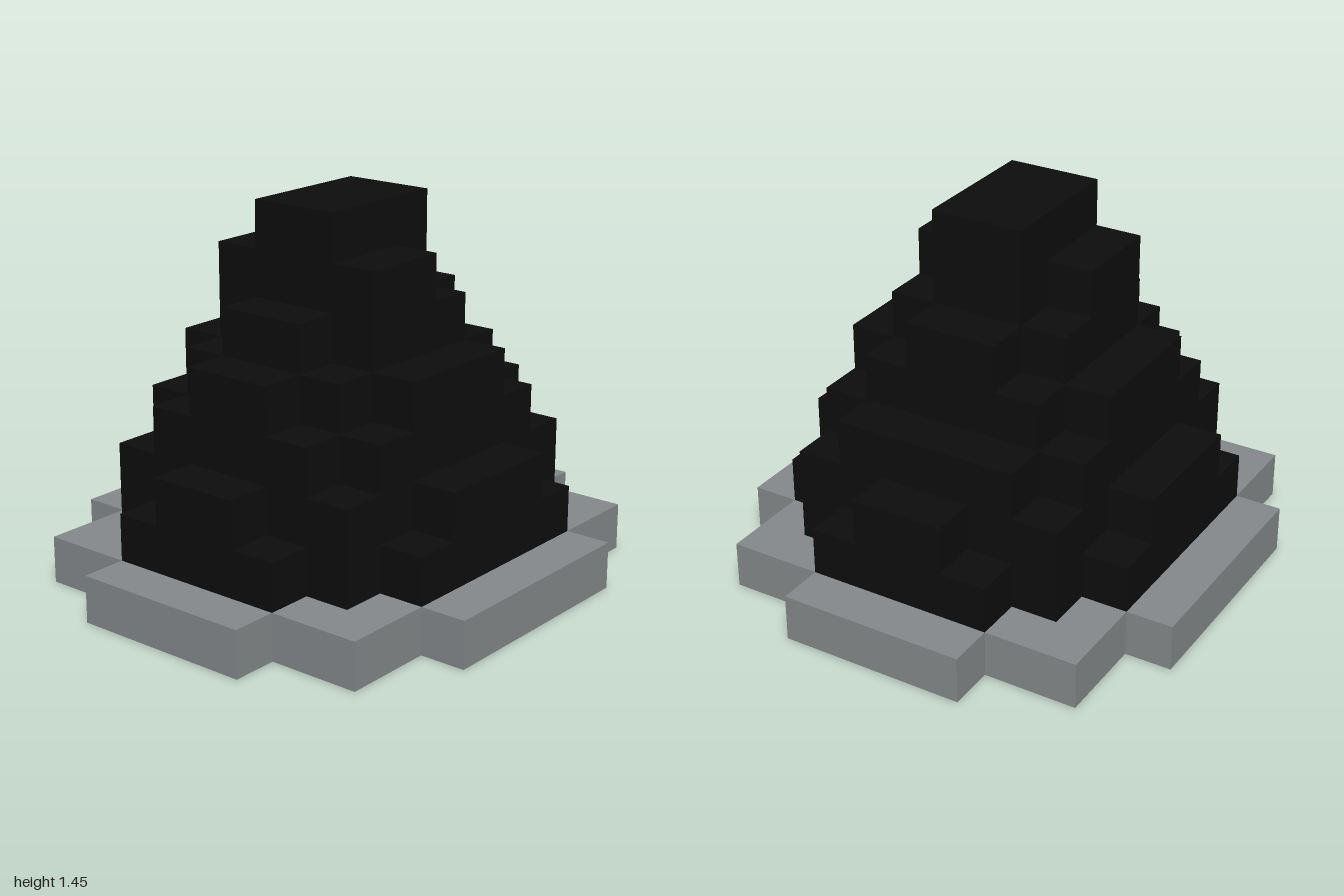
import * as THREE from 'three';

const U = 2 / 11; // size of one block

// Each tier: name, bottom, top, and rows of [half width, back z, front z] from narrow to wide, in blocks
const TIERS = [
  ['base', 0, 1, [[2, -5.5, 5.5], [4, -4.5, 4.5], [5, -2.5, 2.5]]],
  ['moundTier1', 1, 2, [[2, -4.5, 4.5], [3, -3.5, 3.5], [4, -2.5, 2.5]]],
  ['moundTier2', 2, 3, [[1, -4.5, 4.5], [3, -3.5, 3.5], [4, -1.5, 1.5]]],
  ['moundTier3', 3, 4, [[2, -3.5, 3.5], [3, -2.5, 2.5]]],
  ['moundTier4', 4, 5, [[1, -2.5, 3.5], [2, -2.5, 2.5], [3, -1.5, 1.5]]],
  ['moundTier5', 5, 6, [[1, -2.5, 2.5], [2, -1.5, 1.5]]],
  ['moundTier6', 6, 7, [[1, -1.5, 1.5], [2, -0.5, 1.5]]],
  ['peak', 7, 8, [[1, -1.5, 1.5]]],
];

// Stepped outline, symmetric in x
function outline(rows) {
  const front = [], back = [];
  rows.forEach(([x, zb, zf], i) => {
    front.push([x, zf]);
    back.push([x, zb]);
    if (i < rows.length - 1) {
      front.push([x, rows[i + 1][2]]);
      back.push([x, rows[i + 1][1]]);
    }
  });
  const side = [...front, ...back.reverse()];
  const mirrored = side.map(([x, z]) => [-x, z]).reverse();
  const points = [...side, ...mirrored].filter(
    (p, i, all) => i === 0 || p[0] !== all[i - 1][0] || p[1] !== all[i - 1][1]);
  return new THREE.Shape(points.map(([x, z]) => new THREE.Vector2(x * U, z * U)));
}

function tierGeometry(bottom, top, rows) {
  const geometry = new THREE.ExtrudeGeometry(outline(rows), {
    depth: (top - bottom) * U, bevelEnabled: false,
  });
  geometry.rotateX(Math.PI / 2); // outline lies flat, depth runs down
  geometry.translate(0, top * U, 0);
  return geometry;
}

export function createModel() {
  const grey = new THREE.MeshStandardMaterial({ color: 0x84888a });
  grey.name = 'stone grey';
  const black = new THREE.MeshStandardMaterial({ color: 0x0d0d0d });
  black.name = 'black';

  const model = new THREE.Group();
  model.name = 'steppedMound';
  for (const [name, bottom, top, rows] of TIERS) {
    const mesh = new THREE.Mesh(tierGeometry(bottom, top, rows), name === 'base' ? grey : black);
    mesh.name = name;
    model.add(mesh);
  }
  return model;
}
